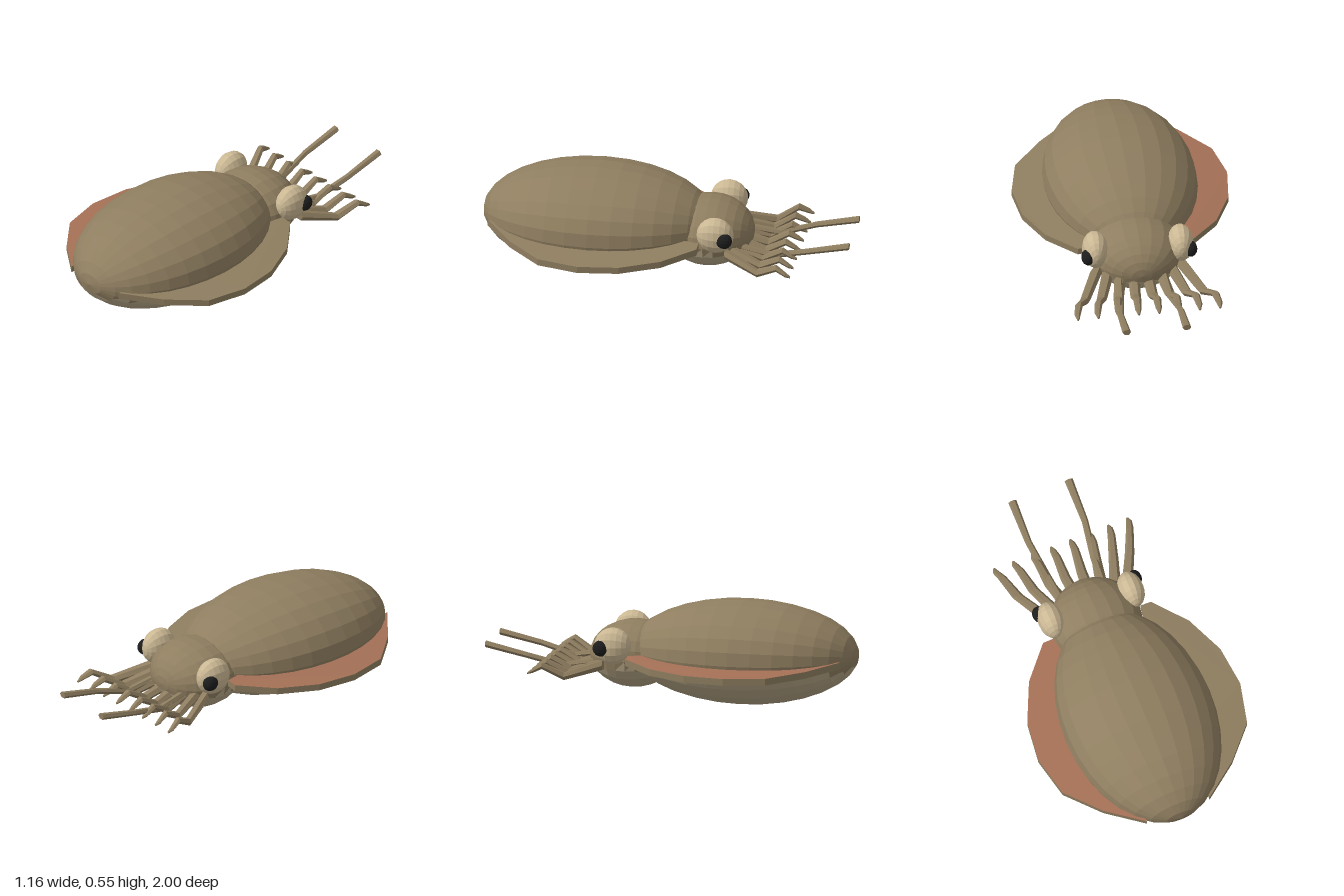
import * as THREE from 'three';

const mat = (name, color) => new THREE.MeshStandardMaterial({ name, color, flatShading: true });

// Splits a geometry into two material groups by testing each face's centre and normal.
function twoTone(source, isSecond) {
  const geo = source.index ? source.toNonIndexed() : source;
  const p = geo.attributes.position;
  const sets = [[], []];
  const tri = new THREE.Triangle(), centre = new THREE.Vector3(), normal = new THREE.Vector3();
  for (let i = 0; i < p.count; i += 3) {
    tri.setFromAttributeAndIndices(p, i, i + 1, i + 2);
    tri.getMidpoint(centre);
    tri.getNormal(normal);
    sets[isSecond(centre, normal) ? 1 : 0].push(...tri.a.toArray(), ...tri.b.toArray(), ...tri.c.toArray());
  }
  const out = new THREE.BufferGeometry();
  out.setAttribute('position', new THREE.Float32BufferAttribute([...sets[0], ...sets[1]], 3));
  out.addGroup(0, sets[0].length / 3, 0);
  out.addGroup(sets[0].length / 3, sets[1].length / 3, 1);
  out.computeVertexNormals();
  return out;
}

// Ellipsoid whose poles lie on the z axis.
function ellipsoid(radii, centre, around, along) {
  return new THREE.SphereGeometry(1, around, along).rotateX(Math.PI / 2)
    .scale(...radii).translate(...centre);
}

// Six-sided limb running towards -z; each station is [x, y, z, halfWidth, halfHeight].
function limb(stations) {
  const sides = 6, pos = [], idx = [];
  for (const [x, y, z, w, h] of stations) {
    for (let i = 0; i < sides; i++) {
      const a = (i / sides) * Math.PI * 2;
      pos.push(x + Math.cos(a) * w, y + Math.sin(a) * h, z);
    }
  }
  for (let s = 0; s < stations.length - 1; s++) {
    for (let i = 0; i < sides; i++) {
      const a = s * sides + i, b = s * sides + ((i + 1) % sides);
      idx.push(a, a + sides, b, b, a + sides, b + sides);
    }
  }
  const last = (stations.length - 1) * sides;
  for (let i = 1; i < sides - 1; i++) {
    idx.push(0, i, i + 1, last, last + i + 1, last + i);
  }
  const geo = new THREE.BufferGeometry();
  geo.setAttribute('position', new THREE.Float32BufferAttribute(pos, 3));
  geo.setIndex(idx);
  return geo;
}

// Side fin: a thin outline plate that rises slightly towards the body.
function fin(side) {
  const outline = [[0.18, 0.95], [0.37, 0.8], [0.53, 0.62], [0.58, 0.4], [0.555, 0.18],
    [0.46, -0.03], [0.31, -0.2], [0.25, -0.2], [0.2, 0.1], [0.2, 0.6]];
  const shape = new THREE.Shape(outline.map(([x, z]) => new THREE.Vector2(side * x, -z)));
  const geo = new THREE.ExtrudeGeometry(shape, { depth: 0.036, bevelEnabled: false });
  geo.rotateX(-Math.PI / 2);
  const p = geo.attributes.position;
  for (let i = 0; i < p.count; i++) {
    const t = Math.max(0, (0.58 - Math.abs(p.getX(i))) / 0.4);
    p.setY(i, p.getY(i) + 0.212 + 0.035 * Math.pow(t, 1.4));
  }
  return twoTone(geo, (c, n) => n.y * side < -0.6);
}

export function createModel() {
  const model = new THREE.Group();
  const skin = mat('olive skin', 0x8f7e60);
  const belly = mat('pale belly', 0xb3a384);
  const under = mat('terracotta underside', 0xa47056);
  const eyeball = mat('cream eyeball', 0xcbb894);
  const black = mat('black pupil', 0x1d1d1d);

  const add = (name, geo, material) => {
    const mesh = new THREE.Mesh(geo, material);
    mesh.name = name;
    model.add(mesh);
  };

  // Mantle and head, each with a paler lower part
  add('mantle', twoTone(ellipsoid([0.41, 0.277, 0.62], [0, 0.278, 0.38], 24, 16),
    (c) => c.y < 0.222), [skin, belly]);
  add('head', twoTone(ellipsoid([0.25, 0.18, 0.24], [0, 0.24, -0.22], 20, 14),
    (c) => c.y < 0.205), [skin, belly]);

  for (const side of [1, -1]) {
    const label = side > 0 ? 'left' : 'right';
    add(label + 'Fin', fin(side), [skin, under]);

    // Eyes
    add(label + 'Eye', ellipsoid([0.07, 0.1, 0.1], [side * 0.23, 0.32, -0.287], 14, 10), eyeball);
    add(label + 'Pupil', ellipsoid([0.036, 0.044, 0.044], [side * 0.276, 0.313, -0.342], 14, 10), black);

    // Four short arms, dipping, rising and ending in a drooping tip
    for (let i = 0; i < 4; i++) {
      const spread = 0.055 + i * 0.109;
      const arm = limb([
        [side * spread * 0.6, 0.215, -0.34, 0.034, 0.03],
        [side * spread * 0.84, 0.162, -0.53, 0.028, 0.022],
        [side * spread * 0.96, 0.222, -0.64, 0.022, 0.018],
        [side * spread, 0.196, -0.69, 0.017, 0.013],
        [side * spread, 0.182, -0.718, 0.006, 0.006],
      ]);
      add(label + 'Arm' + (i + 1), twoTone(arm, (c, n) => n.y < -0.8), [skin, under]);
    }

    // Long feeding tentacle
    const tentacle = limb([
      [side * 0.12, 0.21, -0.4, 0.02, 0.02],
      [side * 0.135, 0.18, -0.58, 0.019, 0.017],
      [side * 0.162, 0.23, -0.77, 0.018, 0.016],
      [side * 0.162, 0.28, -1.0, 0.023, 0.018],
    ]);
    add(label + 'Tentacle', twoTone(tentacle, (c, n) => n.y < -0.9), [skin, under]);
  }
  return model;
}
